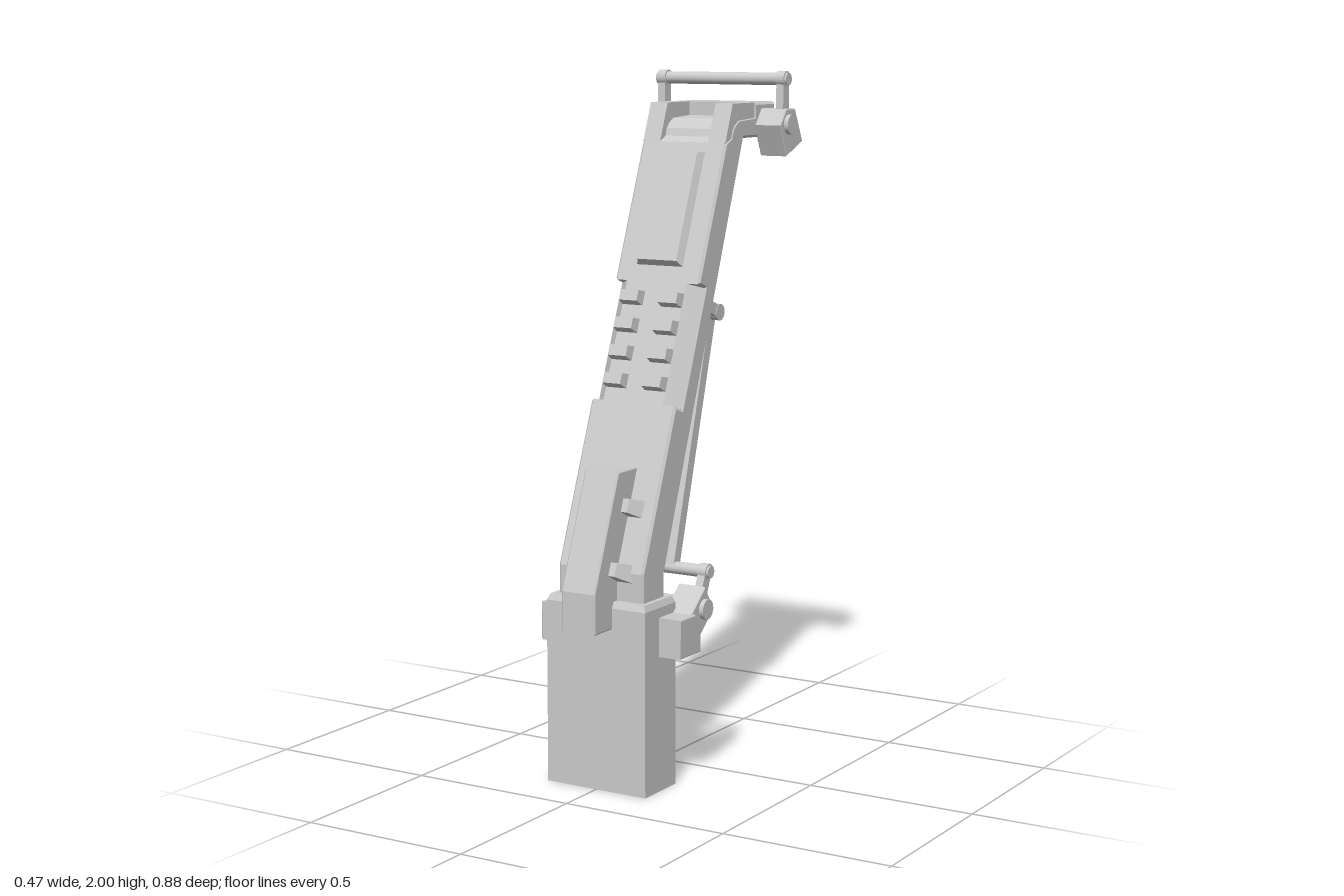
import * as THREE from 'three';

const mat = new THREE.MeshStandardMaterial({ color: 0xcccccc, flatShading: true });
const smooth = new THREE.MeshStandardMaterial({ color: 0xcccccc });
const shell = new THREE.MeshStandardMaterial({ color: 0xcccccc, flatShading: true, side: THREE.DoubleSide });

// Sloping front face of the arm
const SLOPE = 0.387;
const TILT = -Math.atan(SLOPE);
const frontZ = (y) => 0.323 - SLOPE * (y - 0.63);
const inset = (y, d) => [frontZ(y) - d * Math.cos(TILT), y + d * Math.sin(TILT)];

function add(parent, name, geometry, x = 0, y = 0, z = 0, material = mat) {
  const mesh = new THREE.Mesh(geometry, material);
  mesh.name = name;
  mesh.position.set(x, y, z);
  parent.add(mesh);
  return mesh;
}

// Extrudes a side outline of [z, y] points across x, from x0 to x1
function sideExtrude(points, x0, x1, bevel = 0.006) {
  const shape = new THREE.Shape(points.map(([z, y]) => new THREE.Vector2(z, y)));
  const g = new THREE.ExtrudeGeometry(shape, {
    depth: x1 - x0 - 2 * bevel, bevelEnabled: bevel > 0, bevelSize: bevel,
    bevelThickness: bevel, bevelOffset: -bevel, bevelSegments: 1,
  });
  g.translate(0, 0, bevel - (x1 - x0));
  g.rotateY(-Math.PI / 2);
  g.translate(x0, 0, 0);
  return g;
}

// Box whose +z face is scaled down
function taperedBox(w, h, d, sx, sy) {
  const g = new THREE.BoxGeometry(w, h, d);
  const p = g.attributes.position;
  for (let i = 0; i < p.count; i++) {
    if (p.getZ(i) > 0) p.setXY(i, p.getX(i) * sx, p.getY(i) * sy);
  }
  g.computeVertexNormals();
  return g;
}

// Cylinder lying along x
function rod(radius, length) {
  return new THREE.CylinderGeometry(radius, radius, length, 20).rotateZ(Math.PI / 2);
}

// Part seated on the sloping front face at height y, offset outward
function onFront(parent, name, geometry, x, y, out) {
  const [z, yy] = inset(y, -out);
  add(parent, name, geometry, x, yy, z).rotation.x = TILT;
}

// Bar placed between two [z, y] points in the side plane
function strut(parent, name, a, b, width, thick, x = 0) {
  const dz = b[0] - a[0], dy = b[1] - a[1];
  const m = add(parent, name, new THREE.BoxGeometry(width, Math.hypot(dz, dy), thick),
    x, (a[1] + b[1]) / 2, (a[0] + b[0]) / 2);
  m.rotation.x = Math.atan2(dz, dy);
}

// Pair of pivot blocks with pins, links and a cross bar
function pivot(parent, name, outline, pin, bar) {
  const group = new THREE.Group();
  group.name = name;
  for (const s of [-1, 1]) {
    add(group, 'pivotBlock', sideExtrude(outline, s > 0 ? 0.135 : -0.222, s > 0 ? 0.222 : -0.135, 0.003));
    add(group, 'pivotPin', rod(0.029, 0.05), s * 0.21, pin[1], pin[0], smooth);
    add(group, 'linkEye', rod(0.023, 0.028), s * 0.2, bar[1], bar[0], smooth);
    strut(group, 'link', pin, bar, 0.024, 0.034, s * 0.2);
  }
  add(group, 'crossBar', rod(0.018, 0.44), 0, bar[1], bar[0], smooth);
  parent.add(group);
}

export function createModel() {
  const model = new THREE.Group();
  model.name = 'foldingArm';

  // Hollow base sleeve, open underneath, with a bevelled lid
  const sleeve = new THREE.CylinderGeometry(Math.SQRT1_2, Math.SQRT1_2, 1, 4, 1, true);
  sleeve.rotateY(Math.PI / 4).scale(0.326, 0.53, 0.163);
  add(model, 'baseSleeve', sleeve, 0, 0.265, 0.267, shell);
  const lid = taperedBox(0.326, 0.163, 0.018, 0.95, 0.9).rotateX(-Math.PI / 2);
  add(model, 'baseLid', lid, 0, 0.539, 0.267);

  // Main arm with a stepped front edge and a pocket at the elbow
  const arm = [
    [0.323, 0.53], [0.323, 0.63],
    [frontZ(1.08), 1.08], inset(1.08, 0.04), inset(1.41, 0.04), [frontZ(1.41), 1.41],
    [-0.13, 1.80], [-0.16, 1.815], [-0.167, 1.837], [-0.182, 1.853], [-0.205, 1.865], [-0.295, 1.87],
    [-0.295, 1.91], [-0.417, 1.91], [-0.417, 1.81], [-0.233, 1.81], [0.207, 0.61], [0.207, 0.53],
  ];
  add(model, 'arm', sideExtrude(arm, -0.14, 0.14, 0.007));
  const cheek = [[-0.13, 1.80], [-0.172, 1.91], [-0.297, 1.91], [-0.297, 1.85], [-0.2, 1.84], [-0.15, 1.79]];
  for (const s of [-1, 1]) {
    add(model, 'pocketCheek', sideExtrude(cheek, s > 0 ? 0.08 : -0.137, s > 0 ? 0.137 : -0.08, 0));
  }

  // Chamfered grip section with two columns of ribs
  onFront(model, 'gripSection', taperedBox(0.278, 0.354, 0.04, 0.71, 1), 0, 1.245, -0.02);
  for (const s of [-1, 1]) {
    for (let i = 0; i < 4; i++) {
      onFront(model, 'gripRib', taperedBox(0.07, 0.045, 0.04, 0.85, 0.7), s * 0.065, 1.135 + i * 0.076, 0.01);
    }
  }

  // Raised cover panel
  onFront(model, 'coverPanel', taperedBox(0.16, 0.35, 0.03, 0.8, 0.92), 0, 1.615, 0.007);

  // Front fin and its clips
  const fin = [[0.438, 0.47], [0.438, 0.585], [0.313, 0.91], [0.205, 0.91], [0.3, 0.62], [0.3, 0.47]];
  add(model, 'frontFin', sideExtrude(fin, -0.055, 0.055, 0.004));
  for (const y of [0.8, 0.63]) {
    onFront(model, 'finClip', taperedBox(0.22, 0.052, 0.055, 0.68, 0.75), 0, y, 0.013);
  }

  // Upper and lower pivots
  pivot(model, 'upperPivot',
    [[-0.3, 1.845], [-0.335, 1.892], [-0.39, 1.892], [-0.437, 1.795], [-0.34, 1.755]],
    [-0.35, 1.847], [-0.353, 1.977]);
  pivot(model, 'lowerPivot',
    [[0.2, 0.5], [0.12, 0.567], [0.07, 0.495], [0.16, 0.42], [0.2, 0.42]],
    [0.127, 0.505], [0.085, 0.603]);

  // Collar bracket behind the base and its roller
  const collar = [[0.275, 0.39], [0.275, 0.502], [0.19, 0.502], [0.16, 0.475], [0.16, 0.39]];
  for (const s of [-1, 1]) {
    add(model, 'collarEnd', sideExtrude(collar, s > 0 ? 0.15 : -0.232, s > 0 ? 0.232 : -0.15, 0.003));
  }
  add(model, 'collarLedge', new THREE.BoxGeometry(0.32, 0.11, 0.027), 0, 0.445, 0.1735);
  add(model, 'roller', rod(0.029, 0.3), 0, 0.505, 0.127, smooth);

  // Brace plate behind the arm, hinged at both ends
  const top = [-0.12, 1.317];
  strut(model, 'bracePlate', [0.085, 0.603], top, 0.21, 0.034);
  add(model, 'braceBar', rod(0.019, 0.23), 0, top[1], top[0], smooth);
  for (const s of [-1, 1]) {
    add(model, 'braceEye', rod(0.024, 0.028), s * 0.115, top[1], top[0], smooth);
    strut(model, 'braceTab', [-0.03, 1.355], top, 0.024, 0.034, s * 0.115);
  }

  return model;
}
